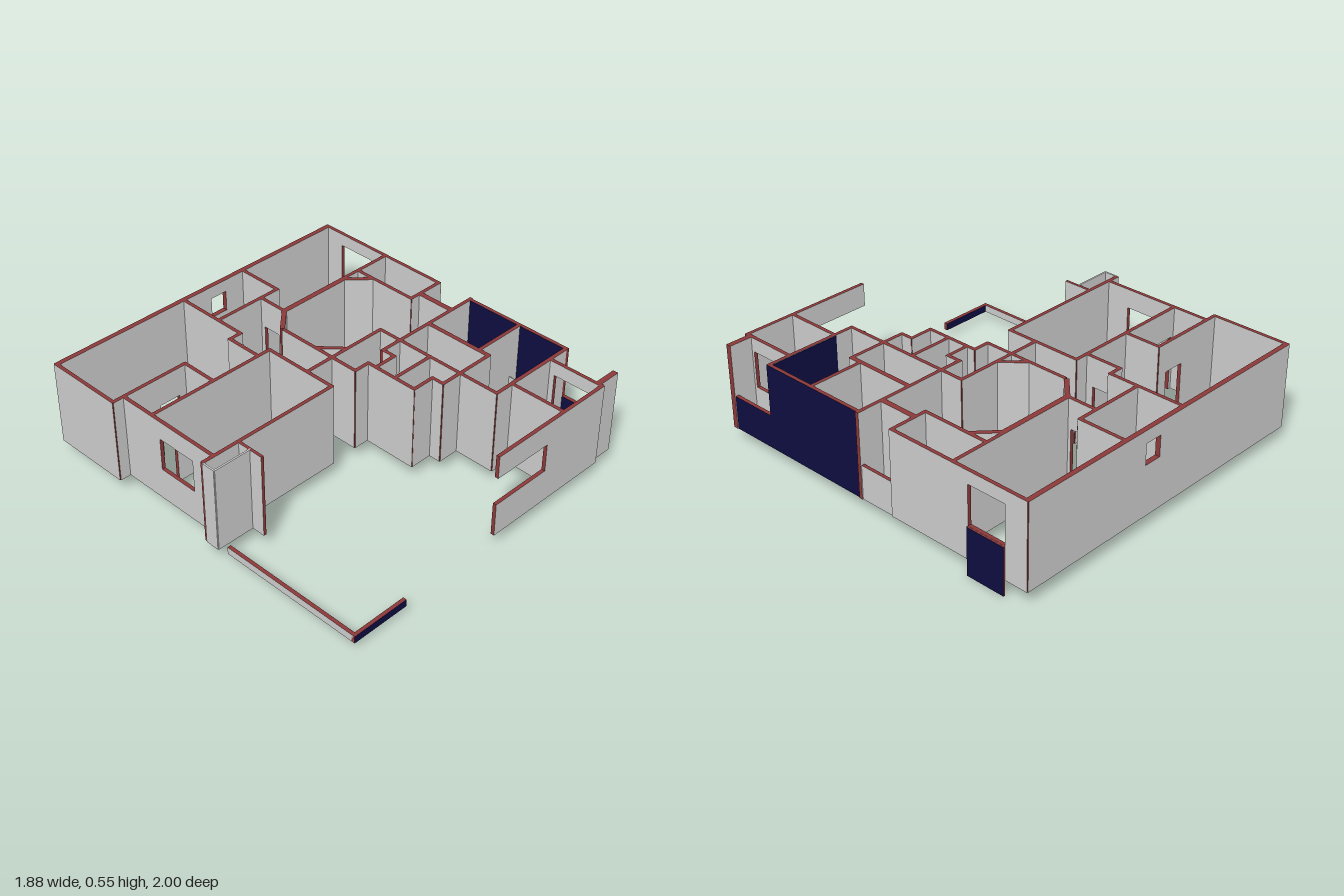
import * as THREE from 'three';

const BASE = 0.08, TOP = 0.545, SILL = 0.265, DOOR = 0.385, T = 0.02;

export function createModel() {
  const model = new THREE.Group();
  const mat = (color) => new THREE.MeshStandardMaterial({ color });
  const grey = mat(0xcccccc), red = mat(0x8c3838), navy = mat(0x0d0d40);

  // Upright wall from (x0,z0) to (x1,z1), with red edges and reveals.
  // Openings are [from, to, bottom, top] along the wall's own axis.
  function wall(name, x0, z0, x1, z1, { t = T, y0 = BASE, y1 = TOP, open = [], face = grey, edge = red } = {}) {
    const dx = x1 - x0, dz = z1 - z0, e = 0.004;
    const len = Math.hypot(dx, dz), start = dz === 0 ? x0 : z0;
    const s = new THREE.Shape();
    s.moveTo(len - e, y0).lineTo(len - e, y1).lineTo(e, y1).lineTo(e, y0);
    for (const [a, b, lo, hi] of open) {
      const p = a - start, q = b - start;
      if (lo <= y0) {
        s.lineTo(p, y0).lineTo(p, hi).lineTo(q, hi).lineTo(q, y0);
      } else {
        const h = new THREE.Path();
        h.moveTo(p, lo).lineTo(p, hi).lineTo(q, hi).lineTo(q, lo).closePath();
        s.holes.push(h);
      }
    }
    s.closePath();
    const g = new THREE.ExtrudeGeometry(s, { depth: t, bevelEnabled: false });
    g.translate(0, 0, -t / 2).rotateY(-Math.atan2(dz, dx)).translate(x0, 0, z0);
    const m = new THREE.Mesh(g, [face, edge]);
    m.name = name;
    model.add(m);
  }
  // Walls along x and along z
  const along = (name, z, x0, x1, o) => wall(name, x0, z, x1, z, o);
  const deep = (name, x, z0, z1, o) => wall(name, x, z0, x, z1, o);
  const door = (a, b) => ({ open: [[a, b, BASE, DOOR]] });

  // Outer shell: back and left
  along('backWall', -0.9865, -0.94, 0.925, { t: 0.027, open: [[0.05, 0.15, 0.36, 0.475]] });
  deep('leftBackWall', -0.93, -1, -0.545);
  deep('leftWall', -0.867, -0.56, 0.09, { open: [[-0.29, -0.06, 0.26, 0.44]] });
  along('leftFrontWall', 0.08, -0.94, -0.11);

  // Outer shell: right side
  deep('rightBackWall', 0.915, -1, -0.16, { open: [[-0.87, -0.65, 0.26, 0.475]] });
  deep('rightParapet', 0.911, -0.17, 0.05, { y1: SILL, t: 0.018 });
  deep('rightDarkWall', 0.911, 0.045, 0.684, { face: navy });
  deep('rightDarkLowWall', 0.911, 0.676, 0.955, { y1: SILL, face: navy });
  along('rightFrontPost', 0.96, 0.776, 0.929, { t: 0.03 });

  // Front wall with the opening that runs out to its free end
  along('frontWall', 0.985, 0.376, 0.799);
  along('frontWallSill', 0.985, 0.026, 0.384, { y1: SILL });
  along('frontWallHead', 0.985, 0.026, 0.384, { y0: 0.42 });

  // Left rooms
  along('leftRoomWall', -0.555, -0.94, -0.477, door(-0.66, -0.54));
  deep('leftRoomReturn', -0.487, -0.565, -0.345);
  along('leftHallWall', -0.35, -0.877, -0.11, door(-0.84, -0.74));
  deep('leftHallSide', -0.12, -0.36, 0.09);

  // Middle back rooms
  deep('backRoomDivider', -0.125, -0.98, -0.545);
  along('backRoomJog', -0.555, -0.205, -0.115);
  deep('backRoomReturn', -0.195, -0.565, -0.345, door(-0.5, -0.4));
  along('backBathWall', -0.72, -0.125, 0.29);
  deep('backBathSide', 0.28, -0.98, -0.71);
  deep('backBathPassage', 0.168, -0.725, -0.54, door(-0.685, -0.58));
  along('backRightWall', -0.553, 0.16, 0.92);

  // Eight-sided hall with a low ring in its middle
  along('hallBackWall', -0.545, 0.16, 0.6, { t: 0.024 });
  deep('hallLeftWall', 0.05, -0.435, 0.08);
  wall('hallCornerBackLeft', 0.046, -0.434, 0.169, -0.549, { t: 0.025 });
  wall('hallCornerBackRight', 0.588, -0.549, 0.706, -0.438, { t: 0.025 });
  wall('hallCornerFrontLeft', 0.046, -0.21, 0.155, -0.09, { t: 0.022 });
  deep('hallRightWall', 0.705, -0.555, -0.16);
  along('hallFrontWall', -0.088, -0.12, 0.4, door(-0.1, 0.02));
  for (const z of [-0.343, -0.287]) along('lowRing', z, 0.238, 0.514, { y1: SILL, t: 0.016 });
  for (const x of [0.248, 0.504]) deep('lowRing', x, -0.351, -0.279, { y1: SILL, t: 0.016 });

  // Right rooms
  along('rightRoomWall', -0.172, 0.695, 0.925);
  deep('rightRoomDivider', 0.77, -0.175, 0.05, { t: 0.03 });
  along('rightCrossWall', 0.045, 0.255, 0.929);
  deep('hallFrontReturn', 0.39, -0.098, 0.05);

  // Stepped small rooms
  along('stepWall', 0.07, 0.04, 0.15);
  deep('stepWall', 0.14, 0.06, 0.385);
  along('stepWall', 0.12, 0.13, 0.28);
  deep('stepWall', 0.27, 0.04, 0.13);
  along('stepDivider', 0.245, 0.14, 0.39);
  along('stepWall', 0.372, 0.13, 0.28);
  deep('stepWall', 0.268, 0.362, 0.45);
  along('stepFrontWall', 0.44, 0.258, 0.61);
  deep('frontRoomLeftWall', 0.39, 0.04, 0.68);
  deep('frontRoomDivider', 0.598, 0.04, 0.45, { t: 0.025 });
  along('frontRoomCross', 0.375, 0.6, 0.91);

  // Front right rooms
  along('frontRoomWall', 0.67, 0.38, 0.908);
  deep('porchLeftWall', 0.5, 0.665, 0.985);
  deep('porchRightWall', 0.787, 0.665, 0.99, { open: [[0.71, 0.93, 0.27, 0.47]] });

  // Thin low partitions
  const thin = { t: 0.004, y1: SILL, edge: grey };
  deep('lowPartition', 0.335, -0.085, 0.04, thin);
  deep('lowPartition', 0.845, 0.38, 0.665, thin);
  deep('lowPartition', 0.76, -0.3, -0.175, thin);
  along('lowPartition', -0.3, 0.71, 0.764, thin);

  // Entry box and fin at the left front
  along('entryBoxFront', 0.16, -0.94, -0.712, { t: 0.01, edge: grey });
  deep('entryBoxSide', -0.935, 0.08, 0.165, { t: 0.01, edge: grey });
  deep('entryFin', -0.717, 0.08, 0.244, { t: 0.016 });

  // Low garden kerb
  const kerb = { y0: 0.04, y1: BASE };
  deep('gardenKerbSide', -0.888, 0.176, 0.998, kerb);
  along('gardenKerbFront', 0.99, -0.902, -0.566, { ...kerb, face: navy });

  // Dark panels: on the front room wall and below the right-hand window
  function panel(name, w, h, d, x, y, z, m) {
    const p = new THREE.Mesh(new THREE.BoxGeometry(w, h, d), m);
    p.position.set(x, y, z);
    p.name = name;
    model.add(p);
  }
  panel('frontRoomPanel', 0.4, TOP - BASE - 0.004, 0.004, 0.702, (TOP + BASE) / 2, 0.659, navy);
  panel('windowApron', 0.01, 0.26, 0.22, 0.931, 0.13, -0.76, [navy, navy, red, red, red, red]);

  return model;
}
